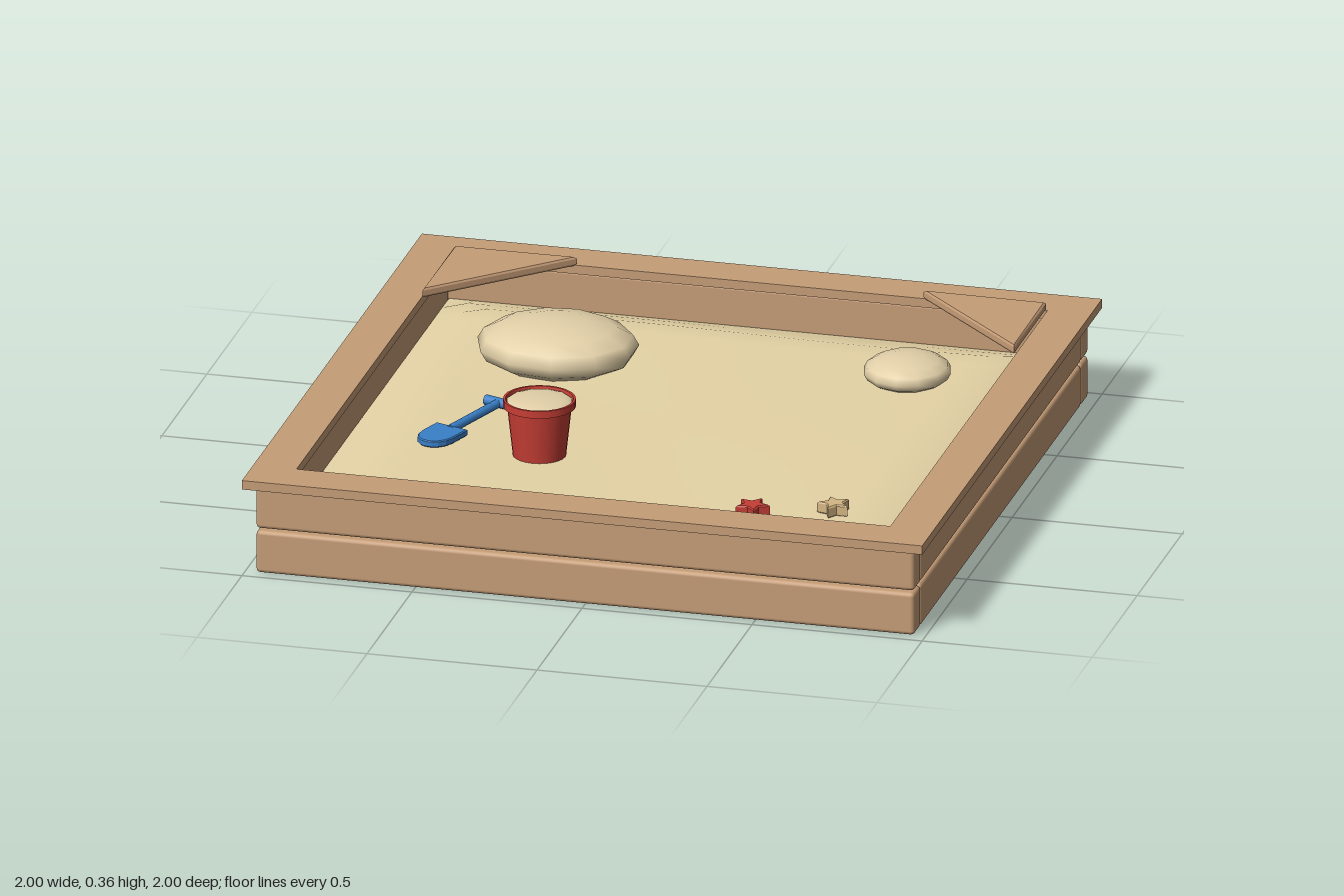
import * as THREE from 'three';
import { RoundedBoxGeometry } from 'three/addons/geometries/RoundedBoxGeometry.js';

const material = (color, extra = {}) => new THREE.MeshStandardMaterial({ color, ...extra });
const wood = material(0xc69d77);
const sand = material(0xe6d4a6);
const mound = material(0xe2d0a8);
const red = material(0xc63e35, { side: THREE.DoubleSide });
const blue = material(0x3a80c8);
const tan = material(0xd6b684);

function add(parent, name, geometry, mat, x = 0, y = 0, z = 0) {
  const mesh = new THREE.Mesh(geometry, mat);
  mesh.name = name;
  mesh.position.set(x, y, z);
  parent.add(mesh);
  return mesh;
}

// Flat outline in (x, -z), given thickness upward
function slab(shape, height, bevel = 0) {
  const geometry = new THREE.ExtrudeGeometry(shape, {
    depth: height - 2 * bevel, bevelEnabled: bevel > 0, bevelSize: bevel,
    bevelThickness: bevel, bevelOffset: -bevel, bevelSegments: 1, curveSegments: 8,
  });
  return geometry.rotateX(-Math.PI / 2).translate(0, bevel, 0);
}

const polygon = (points) => new THREE.Shape(points.map(([x, y]) => new THREE.Vector2(x, y)));

function star(radius) {
  const points = [];
  for (let i = 0; i < 10; i++) {
    const a = (i / 10) * Math.PI * 2 + Math.PI / 2;
    const r = i % 2 ? radius * 0.52 : radius;
    points.push([Math.cos(a) * r, Math.sin(a) * r]);
  }
  return polygon(points);
}

function createFrame() {
  const frame = new THREE.Group();
  frame.name = 'woodenFrame';
  // Two courses of wall boards
  for (const y of [0.065, 0.2]) {
    for (const s of [-1, 1]) {
      add(frame, 'endBoard', new RoundedBoxGeometry(1.936, 0.128, 0.076, 2, 0.012), wood, 0, y, s * 0.93);
      add(frame, 'sideBoard', new RoundedBoxGeometry(0.076, 0.128, 1.782, 2, 0.012), wood, s * 0.93, y, 0);
    }
  }
  // Flat rim on top
  const rim = polygon([[-1, -1], [1, -1], [1, 1], [-1, 1]]);
  rim.holes.push(new THREE.Path([[-1, -1], [-1, 1], [1, 1], [1, -1]]
    .map(([x, y]) => new THREE.Vector2(x * 0.873, y * 0.873))));
  add(frame, 'topRim', slab(rim, 0.027), wood, 0, 0.264, 0);
  // Triangular seats in the back corners
  for (const s of [-1, 1]) {
    const points = [[s * 0.87, 0.87], [s * 0.51, 0.87], [s * 0.87, 0.515]];
    if (s < 0) points.reverse();
    add(frame, 'cornerSeat', slab(polygon(points), 0.027, 0.006), wood, 0, 0.291, 0);
  }
  return frame;
}

// Flat-bottomed bed whose top sinks toward the walls
function sandGeometry() {
  const geometry = new THREE.BoxGeometry(1.784, 0.04, 1.784, 24, 1, 24);
  const p = geometry.attributes.position;
  for (let i = 0; i < p.count; i++) {
    const x = p.getX(i), z = p.getZ(i);
    const edge = 0.892 - Math.max(Math.abs(x), Math.abs(z));
    const ripple = 0.003 * Math.sin(x * 5) * Math.cos(z * 4);
    const top = 0.145 + (0.04 + ripple) * THREE.MathUtils.smoothstep(edge, 0, 0.14);
    p.setY(i, p.getY(i) > 0 ? top : 0.121);
  }
  geometry.computeVertexNormals();
  return geometry;
}

function createBucket() {
  const bucket = new THREE.Group();
  bucket.name = 'bucket';
  const profile = [[0, 0], [0.075, 0], [0.092, 0.156], [0.104, 0.158], [0.104, 0.18],
    [0.097, 0.18], [0.092, 0.156]].map(([x, y]) => new THREE.Vector2(x, y));
  // Separate bands keep the lip crisp
  for (let i = 0; i < profile.length - 1; i++) {
    add(bucket, 'bucketWall', new THREE.LatheGeometry([profile[i], profile[i + 1]], 24), red);
  }
  const fill = new THREE.SphereGeometry(0.096, 12, 5, 0, Math.PI * 2, 0, Math.PI / 2);
  add(bucket, 'bucketSand', fill, mound, 0, 0.17, 0).scale.y = 0.16;
  bucket.position.set(-0.305, 0.175, 0.32);
  return bucket;
}

function createShovel() {
  const shovel = new THREE.Group();
  shovel.name = 'shovel';
  // Blade points along local +z, grip at the origin
  const blade = new THREE.Shape();
  blade.moveTo(-0.053, -0.24);
  blade.lineTo(-0.053, -0.315);
  blade.bezierCurveTo(-0.05, -0.4, 0.05, -0.4, 0.053, -0.315);
  blade.lineTo(0.053, -0.24);
  blade.closePath();
  add(shovel, 'shovelBlade', slab(blade, 0.02, 0.003), blue, 0, -0.01, 0);
  add(shovel, 'shovelHandle', new THREE.CylinderGeometry(0.013, 0.013, 0.25, 10).rotateX(Math.PI / 2),
    blue, 0, 0.002, 0.125);
  add(shovel, 'shovelGrip', new THREE.CylinderGeometry(0.015, 0.015, 0.09, 10).rotateZ(Math.PI / 2),
    blue, 0, 0.002, 0);
  shovel.position.set(-0.508, 0.2, 0.003);
  shovel.rotation.y = -0.33;
  return shovel;
}

export function createModel() {
  const model = new THREE.Group();
  model.name = 'sandbox';
  model.add(createFrame(), createBucket(), createShovel());
  add(model, 'sandBed', sandGeometry(), sand);

  // Flattened heaps of sand, partly sunk in the bed
  for (const [x, y, z, rx, ry, rz, sides] of [
    [-0.44, 0.238, -0.39, 0.235, 0.081, 0.203, 11],
    [0.557, 0.214, -0.51, 0.127, 0.048, 0.132, 12]]) {
    const heap = add(model, 'sandHeap', new THREE.SphereGeometry(1, sides, 8), mound, x, y, z);
    heap.scale.set(rx, ry, rz);
  }

  // Star moulds
  add(model, 'redStar', slab(star(0.052), 0.036, 0.004), red, 0.402, 0.184, 0.625).rotation.y = -0.31;
  add(model, 'tanStar', slab(star(0.049), 0.034, 0.004), tan, 0.623, 0.184, 0.55).rotation.y = 0.5;
  return model;
}
